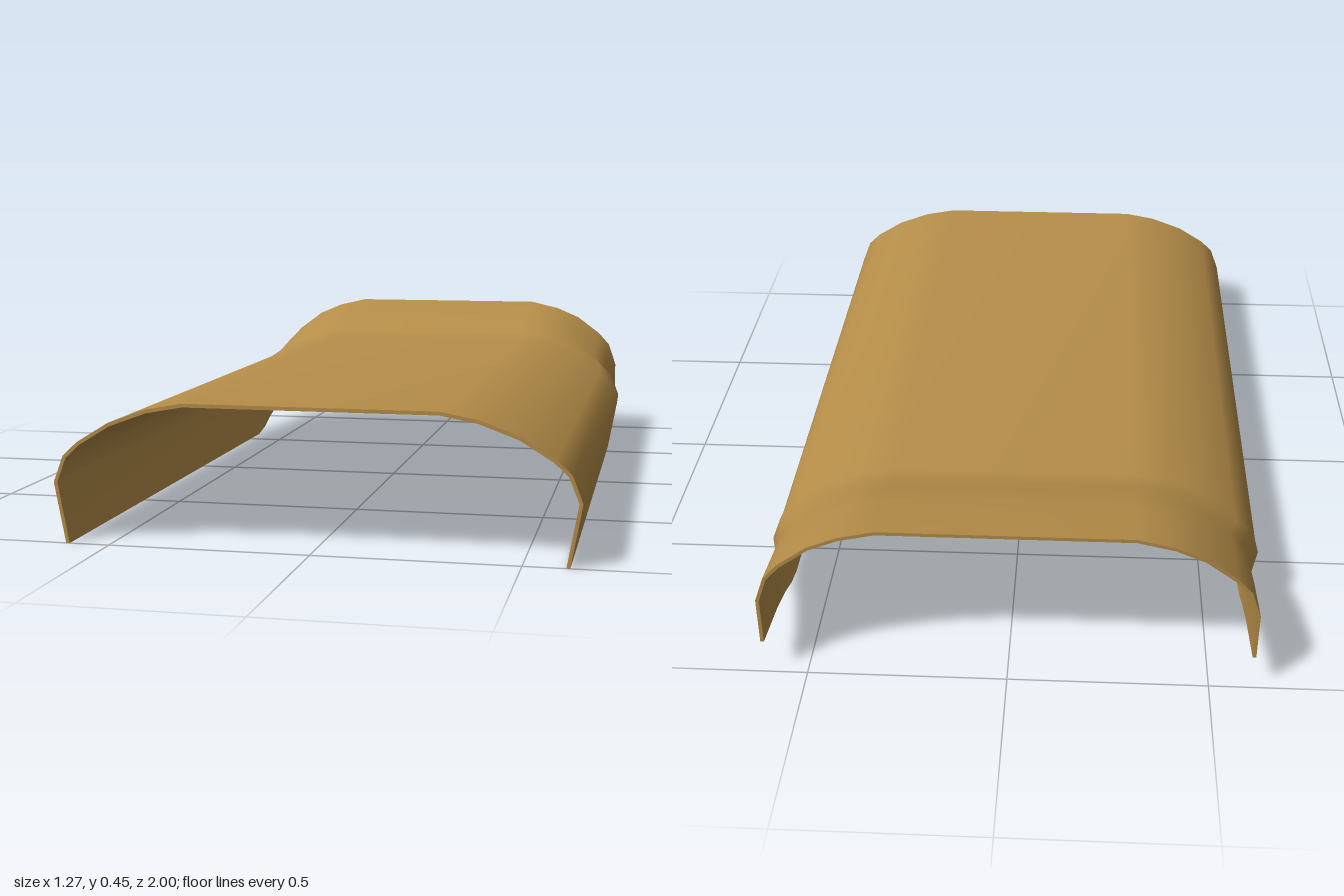
import * as THREE from 'three';

// Half cross-sections of the outer skin, from the lower edge to the flat top
const WIDE = [[0.61, 0], [0.637, 0.15], [0.612, 0.215], [0.575, 0.25], [0.495, 0.299], [0.4, 0.334], [0.308, 0.351]];
const NARROW = [[0.61, 0], [0.61, 0.13], [0.586, 0.2], [0.55, 0.24], [0.475, 0.296], [0.4, 0.328], [0.308, 0.349]];
// Stations along the length: z, lift, blend from wide to narrow
const STATIONS = [[1, 0, 0], [-0.6, 0, 0], [-0.67, 0.015, 0], [-0.74, 0.043, 1], [-0.84, 0.071, 1], [-1, 0.098, 1]];
const WALL = 0.009;

// Full arch at one station, from +x over the top to -x, moved inwards by inset
function arch([z, lift, blend], inset) {
  const half = WIDE.map(([x, y], i) => new THREE.Vector2(
    THREE.MathUtils.lerp(x, NARROW[i][0], blend),
    THREE.MathUtils.lerp(y, NARROW[i][1], blend)));
  const pts = [...half, ...half.slice().reverse().map(p => new THREE.Vector2(-p.x, p.y))];
  return pts.map((p, i) => {
    const t = pts[Math.min(i + 1, pts.length - 1)].clone().sub(pts[Math.max(i - 1, 0)]).normalize();
    const end = i === 0 || i === pts.length - 1;
    const x = p.x - (end ? Math.sign(p.x) : t.y) * inset;
    const y = p.y + (end ? 0 : t.x) * inset;
    return new THREE.Vector3(x, y + lift, z);
  });
}

// Smooth surface through rows of points
function loft(rows, flip = false) {
  const n = rows[0].length, index = [];
  for (let i = 0; i < rows.length - 1; i++) {
    for (let j = 0; j < n - 1; j++) {
      const a = i * n + j, b = a + 1, c = a + n, d = c + 1;
      index.push(...(flip ? [a, b, c, b, d, c] : [a, c, b, b, c, d]));
    }
  }
  const geometry = new THREE.BufferGeometry().setFromPoints(rows.flat());
  geometry.setIndex(index);
  geometry.computeVertexNormals();
  return geometry;
}

export function createModel() {
  const group = new THREE.Group();
  group.name = 'archedCover';
  const bronze = new THREE.MeshStandardMaterial({ color: 0xb68e49 });
  bronze.name = 'bronze';
  const add = (name, geometry) => {
    const mesh = new THREE.Mesh(geometry, bronze);
    mesh.name = name;
    group.add(mesh);
  };

  // Outer and inner skins
  const outer = STATIONS.map(s => arch(s, 0));
  const inner = STATIONS.map(s => arch(s, WALL));
  add('outerSkin', loft(outer));
  add('innerSkin', loft(inner, true));

  // Rims closing the wall at both ends and along both lower edges
  const last = STATIONS.length - 1, side = outer[0].length - 1;
  add('frontRim', loft([inner[0], outer[0]]));
  add('rearRim', loft([outer[last], inner[last]]));
  add('leftLowerRim', loft([outer.map(r => r[0]), inner.map(r => r[0])]));
  add('rightLowerRim', loft([inner.map(r => r[side]), outer.map(r => r[side])]));
  return group;
}
